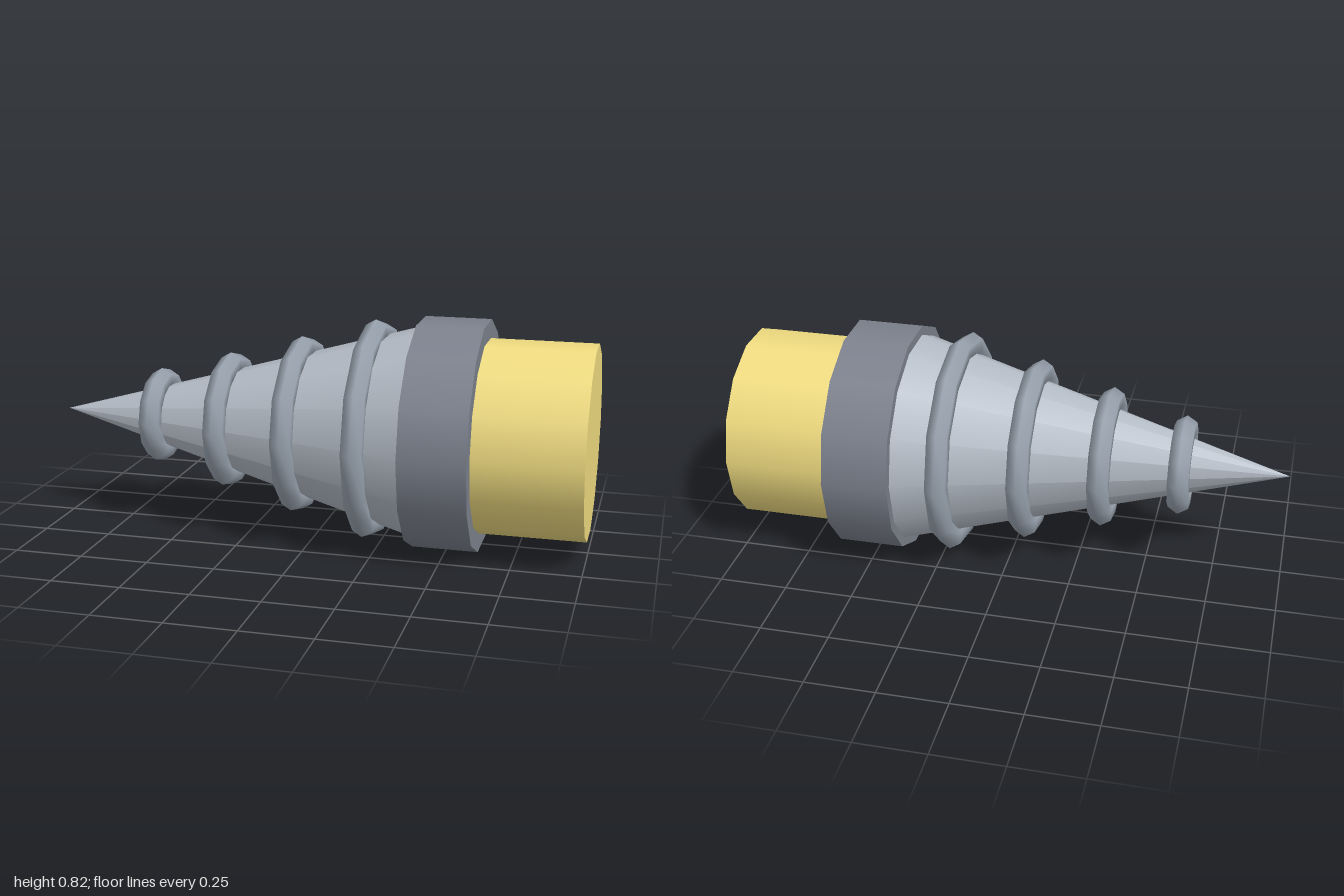
import * as THREE from 'three';

const AXIS_Y = 0.41;
const SIDES = 14;

export function createModel() {
  const group = new THREE.Group();

  const add = (name, geometry, color, x) => {
    const mesh = new THREE.Mesh(geometry, new THREE.MeshStandardMaterial({ color }));
    mesh.name = name;
    mesh.position.set(x, AXIS_Y, 0);
    group.add(mesh);
  };

  // Cylinder or cone lying along x, from x0 (radius r0) to x1 (radius r1)
  const lying = (name, x0, x1, r0, r1, color) => {
    const geometry = new THREE.CylinderGeometry(r0, r1, x1 - x0, SIDES);
    geometry.rotateZ(Math.PI / 2);
    add(name, geometry, color, (x0 + x1) / 2);
  };

  // Pointed body, its base sunk slightly into the collar
  const cone = new THREE.ConeGeometry(0.39, 1.39, SIDES);
  cone.rotateZ(Math.PI / 2);
  add('drillCone', cone, 0xb4bcc6, -0.305);

  // Collar and rear shaft
  lying('collar', 0.375, 0.615, 0.42, 0.42, 0x7c818d);
  lying('shaft', 0.6, 1, 0.352, 0.352, 0xf0dc80);

  // Four thread rings growing towards the collar
  for (let i = 0; i < 4; i++) {
    const ring = new THREE.TorusGeometry(0.136 + i * 0.0755, 0.043, 6, 12);
    ring.rotateY(Math.PI / 2);
    add('threadRing' + (i + 1), ring, 0x98a2ae, -0.615 + i * 0.275);
  }

  return group;
}
